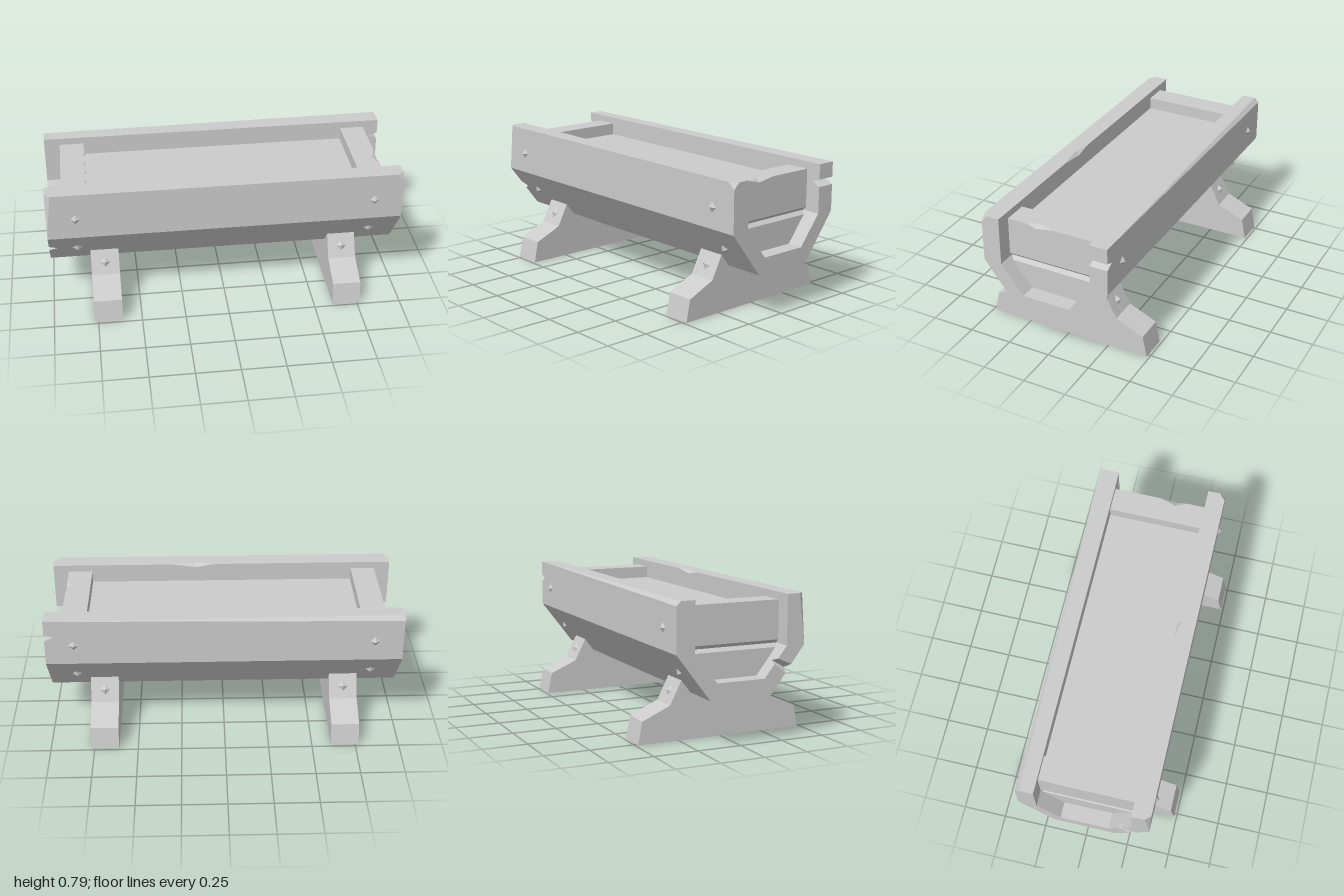
import * as THREE from 'three';
import { ConvexGeometry } from 'three/addons/geometries/ConvexGeometry.js';

const material = new THREE.MeshStandardMaterial({ color: 0xcccccc, flatShading: true });

export function createModel() {
  const root = new THREE.Group();

  function add(name, geometry) {
    const mesh = new THREE.Mesh(geometry, material);
    mesh.name = name;
    root.add(mesh);
    return mesh;
  }
  // Solid spanned by corner points [x, y, z]
  const hull = (name, points) =>
    add(name, new ConvexGeometry(points.map(p => new THREE.Vector3(...p))));
  // Piece of a board: [x, t] corners, t running from edge a to edge b on each face
  function plank(name, corners, faces) {
    const points = [];
    for (const [a, b] of faces) {
      for (const [x, t] of corners) {
        points.push([x, a[0] + (b[0] - a[0]) * t, a[1] + (b[1] - a[1]) * t]);
      }
    }
    return hull(name, points);
  }
  // Board outline split around a V notch in the end at x = s
  function notched(name, faces, s, tip, t0, tm, t1) {
    plank(name, [[-s, 0], [tip, 0], [tip, 1], [-s, 1]], faces);
    plank(name + 'EndTop', [[tip, 0], [s, 0], [s, t0], [tip, tm]], faces);
    plank(name + 'EndBottom', [[tip, tm], [s, t1], [s, 1], [tip, 1]], faces);
  }

  // Front wall with chipped corners and a worn spot on the inner top edge
  const wornSpot = [[0.15, 0.785, 0.295], [0.15, 0.765, 0.27], [0.15, 0.785, 0.375],
    [0.15, 0.51, 0.27], [0.15, 0.51, 0.375]];
  hull('frontWallRight', [...wornSpot, [0.05, 0.785, 0.27],
    [-1, 0.51, 0.27], [-1, 0.51, 0.375], [-1, 0.785, 0.27],
    [-0.97, 0.785, 0.375], [-1, 0.53, 0.375], [-1, 0.785, 0.345]]);
  hull('frontWallLeft', [...wornSpot, [0.3, 0.785, 0.27],
    [1, 0.51, 0.27], [1, 0.51, 0.375], [1, 0.785, 0.27],
    [0.96, 0.785, 0.375], [1, 0.75, 0.375], [1, 0.785, 0.34]]);

  // Back wall with a tapering chamfer on the outer top edge and an end notch
  hull('backWall', [[-1, 0.51, -0.27], [-1, 0.51, -0.375], [-1, 0.785, -0.27],
    [-1, 0.785, -0.35], [-1, 0.76, -0.375],
    [0.95, 0.51, -0.27], [0.95, 0.51, -0.375], [0.95, 0.785, -0.27], [0.95, 0.785, -0.375]]);
  const backFaces = [[[0.785, -0.27], [0.51, -0.27]], [[0.785, -0.375], [0.51, -0.375]]];
  plank('backWallEndTop', [[0.95, 0], [1, 0], [1, 0.31], [0.95, 0.37]], backFaces);
  plank('backWallEndBottom', [[0.95, 0.37], [1, 0.46], [1, 1], [0.95, 1]], backFaces);

  // Sloping lower boards and floor
  const slope = s => [[[0.51, 0.375 * s], [0.255, 0.18 * s]], [[0.51, 0.27 * s], [0.345, 0.14 * s]]];
  notched('frontSlope', slope(1), -1, -0.955, 0.39, 0.48, 0.57);
  plank('backSlope', [[-1, 0], [1, 0], [1, 1], [-1, 1]], slope(-1));
  plank('floor', [[-1, 0], [1, 0], [1, 1], [-1, 1]],
    [[[0.255, -0.18], [0.255, 0.18]], [[0.345, -0.14], [0.345, 0.14]]]);

  // End boards: bevelled upper board over a bevelled lower panel
  const section = (s, z, chip) => [
    [0.77 * s, 0.51, z], [0.89 * s, 0.51, z], [0.91 * s, 0.53, z], [0.77 * s, 0.745, z],
    ...(chip ? [[0.88 * s, 0.745, z], [0.91 * s, 0.728, z]] : [[0.91 * s, 0.745, z]])];
  hull('rightEndBoard', [...section(-1, -0.27), ...section(-1, 0.27)]);
  hull('leftEndBoardBack', [...section(1, -0.27), ...section(1, 0), ...section(1, 0.1, true)]);
  hull('leftEndBoardFront', [...section(1, 0.1, true), ...section(1, 0.16), ...section(1, 0.27)]);
  for (const s of [-1, 1]) {
    const points = [];
    for (const m of [-1, 1]) {
      points.push([0.91 * s, 0.49, 0.255 * m], [0.91 * s, 0.345, 0.14 * m],
        [0.89 * s, 0.51, 0.27 * m], [0.77 * s, 0.51, 0.27 * m], [0.77 * s, 0.345, 0.14 * m]);
    }
    hull('lowerEndPanel', points);
  }

  // Level contents of the trough
  add('filling', new THREE.BoxGeometry(1.54, 0.165, 0.54)).position.y = 0.5925;

  // Cradle legs
  const half = [[0.485, 0], [0.46, 0.125], [0.3, 0.195], [0.2335, 0.325], [0.18, 0.255]];
  const outline = [...half, ...half.map(([z, y]) => [-z, y]).reverse()];
  const legShape = new THREE.Shape(outline.map(([z, y]) => new THREE.Vector2(z, y)));
  for (const s of [-1, 1]) {
    const geometry = new THREE.ExtrudeGeometry(legShape, { depth: 0.16, bevelEnabled: false });
    geometry.translate(0, 0, -0.08).rotateY(Math.PI / 2);
    add('leg', geometry).position.x = 0.69 * s;
  }

  // Pyramid nail heads on walls, slopes and legs: x, y, z, normal y, normal z
  const nails = [
    [0.84, 0.63, 0.375, 0, 1],
    [0.84, 0.385, 0.279, -0.195, 0.255],
    [0.69, 0.26, 0.267, 0.0665, 0.13],
  ];
  const nailGeometry = new THREE.ConeGeometry(0.03, 0.02, 4).translate(0, 0.009, 0);
  const up = new THREE.Vector3(0, 1, 0);
  for (const [x, y, z, ny, nz] of nails) {
    for (const sx of [-1, 1]) {
      for (const sz of [-1, 1]) {
        const nail = add('nail', nailGeometry);
        nail.position.set(x * sx, y, z * sz);
        nail.quaternion.setFromUnitVectors(up, new THREE.Vector3(0, ny, nz * sz).normalize());
      }
    }
  }
  return root;
}
